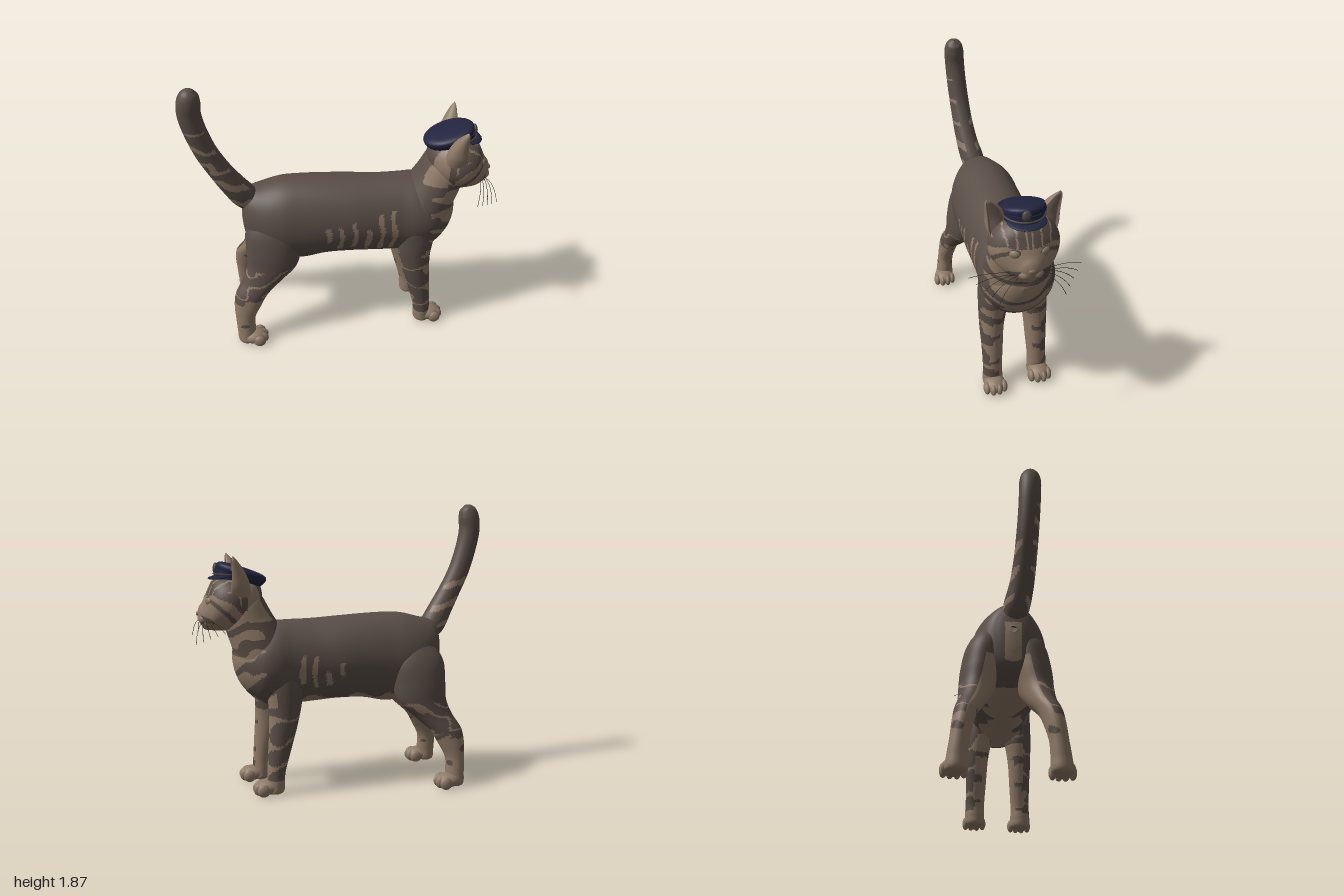
import * as THREE from 'three';

const mat = (name, color) => new THREE.MeshStandardMaterial({ name, color, side: THREE.DoubleSide });

// Soft irregularity for the coat markings
const noise = (x, y, z) =>
  0.5 * Math.sin(23 * x + 11 * z + 3 * Math.sin(17 * y)) + 0.5 * Math.sin(29 * y + 13 * z + 2 * Math.sin(19 * x));

// Smooth interpolation through rows of numbers
function sample(rows, t) {
  const f = t * (rows.length - 1), i = Math.min(Math.floor(f), rows.length - 2), u = f - i;
  const r = k => rows[Math.max(0, Math.min(rows.length - 1, k))];
  const p0 = r(i - 1), p1 = r(i), p2 = r(i + 1), p3 = r(i + 2);
  return p1.map((v, k) => 0.5 * (2 * v + (p2[k] - p0[k]) * u + (2 * p0[k] - 5 * v + 4 * p2[k] - p3[k]) * u * u
    + (3 * v - p0[k] - 3 * p2[k] + p3[k]) * u * u * u));
}

// Loft elliptical rings through rows [x, y, z, halfHeight, halfWidth]; paint() picks a material index per face
function loft(name, rows, { axis, rings = 90, sides = 48, paint, mats, shape = () => 1 }) {
  const pos = [], faces = mats.map(() => []);
  const Z = new THREE.Vector3(0, 0, 1);
  for (let i = 0; i <= rings; i++) {
    const t = i / rings, [x, y, z, a, b] = sample(rows, t);
    const p = sample(rows, Math.max(0, t - 0.01)), q = sample(rows, Math.min(1, t + 0.01));
    const T = axis ? new THREE.Vector3(...axis) : new THREE.Vector3(q[0] - p[0], q[1] - p[1], q[2] - p[2]).normalize();
    const A = Z.clone().cross(T).normalize(), B = T.clone().cross(A);
    for (let j = 0; j < sides; j++) {
      const th = j / sides * Math.PI * 2;
      const v = new THREE.Vector3(x, y, z)
        .addScaledVector(A, Math.max(a, 0.001) * shape(t, th) * Math.cos(th))
        .addScaledVector(B, Math.max(b, 0.001) * Math.sin(th));
      pos.push(v.x, v.y, v.z);
    }
  }
  for (let i = 0; i < rings; i++) for (let j = 0; j < sides; j++) {
    const a = i * sides + j, b = i * sides + (j + 1) % sides, c = a + sides, d = b + sides;
    for (const f of [[a, b, c], [b, d, c]]) {
      const m = k => (pos[f[0] * 3 + k] + pos[f[1] * 3 + k] + pos[f[2] * 3 + k]) / 3;
      faces[paint(m(0), m(1), m(2), (i + 0.5) / rings, (j + 0.5) / sides * Math.PI * 2)].push(...f);
    }
  }
  const g = new THREE.BufferGeometry();
  g.setAttribute('position', new THREE.Float32BufferAttribute(pos, 3));
  g.setIndex(faces.flat());
  let start = 0;
  faces.forEach((f, k) => { g.addGroup(start, f.length, k); start += f.length; });
  g.computeVertexNormals();
  const mesh = new THREE.Mesh(g, mats);
  mesh.name = name;
  return mesh;
}

export function createModel() {
  const dark = mat('darkFur', 0x5a4e47), light = mat('lightFur', 0x8f7a67), inner = mat('innerEar', 0x75635a);
  const navy = mat('navyCloth', 0x22243f), trim = mat('bronzeTrim', 0x4c4340), black = mat('whiskerBlack', 0x2b2522);
  const nose = mat('noseLeather', 0x7d6355), eye = mat('eye', 0x86765f);
  const coat = [dark, light];
  const cat = new THREE.Group();
  cat.name = 'cat';
  const ball = (parent, name, m, p, s, rot = 0) => {
    const b = new THREE.Mesh(new THREE.SphereGeometry(1, 18, 12), m);
    b.name = name; b.position.set(...p); b.scale.set(...s); b.rotation.z = rot;
    parent.add(b);
  };

  // Coat rules: light flank bars, pale belly, banded chest
  const bars = [[-0.11, 0.78, 0.9], [-0.03, 0.7, 0.9], [0.06, 0.72, 0.93], [0.15, 0.66, 0.87], [0.24, 0.65, 0.97], [0.32, 0.67, 0.98]];
  const chest = (x, y, z) => {
    const s = y - 2 * (z - 0.03) ** 2;
    return x > 0.56 && Math.sin(s * 46 + 1.3 * noise(x, y, z)) > 0.55 - (x - 0.58) * 6;
  };
  const bodyPaint = (x, y, z) => {
    const n = noise(x, y, z);
    if (x < 0.52 && x > -0.5 && y < 0.625 + 0.03 * n) return 1;
    if (x < -0.64 && Math.abs(z - 0.04) < 0.05 && y < 0.95) return 1;
    const trimEnd = z < 0 ? 0.06 : 0;
    if (bars.some(([bx, lo, hi]) => (z > 0 || bx > 0) && y > lo + trimEnd && y < hi - trimEnd
      && Math.abs(x - bx - 0.008 * Math.sin(y * 25)) < 0.016 + 0.006 * n)) return 1;
    return chest(x, y, z) ? 1 : 0;
  };

  // Body
  cat.add(loft('body', [
    [-0.67, 0.9, 0.04, 0.02, 0.02], [-0.655, 0.9, 0.04, 0.14, 0.09], [-0.62, 0.88, 0.035, 0.215, 0.15],
    [-0.52, 0.86, 0.03, 0.26, 0.21], [-0.4, 0.855, 0.03, 0.295, 0.235], [-0.27, 0.855, 0.03, 0.302, 0.235],
    [-0.12, 0.867, 0.03, 0.285, 0.235], [0.05, 0.865, 0.03, 0.277, 0.235], [0.22, 0.855, 0.03, 0.277, 0.225],
    [0.37, 0.85, 0.025, 0.28, 0.225], [0.48, 0.85, 0.02, 0.275, 0.24], [0.57, 0.845, 0.02, 0.255, 0.23],
    [0.64, 0.855, 0.025, 0.21, 0.19], [0.7, 0.87, 0.03, 0.15, 0.135], [0.735, 0.89, 0.03, 0.085, 0.08], [0.75, 0.9, 0.03, 0.01, 0.01],
  ], { axis: [1, 0, 0], rings: 190, sides: 88, paint: bodyPaint, mats: coat }));

  // Neck
  cat.add(loft('neck', [
    [0.5, 0.82, 0.025, 0.2, 0.2], [0.545, 0.92, 0.028, 0.195, 0.213], [0.59, 1.02, 0.03, 0.172, 0.2],
    [0.635, 1.12, 0.035, 0.158, 0.183], [0.68, 1.24, 0.04, 0.142, 0.168], [0.705, 1.33, 0.045, 0.11, 0.12],
  ], { rings: 90, sides: 80, mats: coat, paint: (x, y, z) =>
    y > 1.14 && x < 0.66 ? (Math.abs(z - 0.045) > 0.1 + 0.02 * noise(x, y, z) ? 1 : 0) : chest(x, y, z) ? 1 : 0 }));

  // Tail
  cat.add(loft('tail', [
    [-0.57, 0.98, 0.04, 0.06, 0.06], [-0.64, 1.06, 0.06, 0.085, 0.08], [-0.71, 1.17, 0.085, 0.08, 0.075],
    [-0.78, 1.29, 0.1, 0.073, 0.07], [-0.85, 1.43, 0.11, 0.071, 0.068], [-0.9, 1.58, 0.118, 0.071, 0.067],
    [-0.924, 1.7, 0.122, 0.072, 0.067], [-0.918, 1.79, 0.125, 0.071, 0.066], [-0.9, 1.845, 0.125, 0.05, 0.048], [-0.888, 1.868, 0.125, 0.005, 0.005],
  ], { rings: 110, sides: 40, mats: coat, paint: (x, y, z, t, th) =>
    Math.abs(Math.sin(th)) > 0.5 && y < (z > 0.1 ? 1.6 : 1.4) && Math.sin(y * 52 + x * 14 + 1.5 * noise(x, y, z)) > 0.5 ? 1 : 0 }));

  // Paw with four toes
  const paw = (x, z) => {
    const g = new THREE.Group();
    g.name = 'paw';
    ball(g, 'pad', light, [x, 0.05, z], [0.085, 0.05, 0.07]);
    [-0.057, -0.02, 0.02, 0.057].forEach((dz, i) =>
      ball(g, 'toe', light, [x + (i % 3 ? 0.053 : 0.033), 0.042, z + dz], [0.042, 0.042, 0.023]));
    cat.add(g);
  };

  // Legs on both sides, dark outside and pale inside
  const foreRows = [[0.46, 0.92, 0.12, 0.06, 0.06], [0.47, 0.84, 0.135, 0.12, 0.11], [0.48, 0.72, 0.155, 0.125, 0.105], [0.48, 0.58, 0.17, 0.107, 0.09],
    [0.495, 0.45, 0.18, 0.092, 0.078], [0.52, 0.3, 0.182, 0.076, 0.069], [0.545, 0.15, 0.186, 0.06, 0.063],
    [0.55, 0.07, 0.187, 0.058, 0.066], [0.555, 0.015, 0.187, 0.055, 0.06], [0.555, 0.004, 0.187, 0.005, 0.005]];
  const hindRows = [[-0.45, 1.04, 0.08, 0.04, 0.03], [-0.455, 0.95, 0.105, 0.13, 0.09], [-0.465, 0.84, 0.14, 0.185, 0.118], [-0.475, 0.7, 0.165, 0.182, 0.122],
    [-0.49, 0.58, 0.19, 0.168, 0.105], [-0.56, 0.48, 0.215, 0.135, 0.085], [-0.635, 0.39, 0.25, 0.112, 0.07],
    [-0.67, 0.3, 0.27, 0.092, 0.062], [-0.693, 0.2, 0.285, 0.066, 0.056], [-0.692, 0.1, 0.295, 0.063, 0.06],
    [-0.69, 0.02, 0.3, 0.058, 0.06], [-0.69, 0.004, 0.3, 0.005, 0.005]];
  for (const side of [1, -1]) {
    const tag = side > 0 ? 'left' : 'right', dx = side > 0 ? 0 : -0.05;
    const place = (rows, mid, sx) => rows.map(([x, y, z, a, b]) => [x + sx, y, mid + side * (z - mid), a, b]);
    cat.add(loft(tag + 'ForeLeg', place(foreRows, 0.03, dx), { axis: [0, -1, 0], rings: 95, sides: 44, mats: coat,
      paint: (x, y, z, t, th) => {
        const out = Math.sin(th) * side, front = Math.cos(th), n = noise(x, y, z);
        const band = Math.sin(y * 42 + x * 12 + n * 1.5);
        if (y > 0.62) return front > 0.5 && band > 0 ? 1 : 0;
        if (y < 0.1) return 1;
        if (out > 0.25 + 0.25 * n) return band > 0.9 - 0.6 * Math.max(0, front) ? 1 : 0;
        return (band < -0.75 && out > -0.5) || (y > 0.46 && band < -0.3) ? 0 : 1;
      } }));
    cat.add(loft(tag + 'HindLeg', place(hindRows, 0.01, 0), { axis: [0, -1, 0], rings: 100, sides: 44, mats: coat,
      paint: (x, y, z, t, th) => {
        const out = Math.sin(th) * side, n = noise(x, y, z);
        if (y < 0.35 + 0.03 * n) return n > 0.75 && y > 0.15 ? 0 : 1;
        if (out < -0.15) return y < 0.75 ? 1 : 0;
        return y < 0.58 && Math.sin((y - 0.5 * x) * 52 + 2 * n) > 0.86 ? 1 : 0;
      } }));
    paw(0.605 + dx, 0.03 + side * 0.157);
    paw(-0.64, 0.01 + side * 0.302);
  }

  // Head
  const mid = 0.047, head = new THREE.Group();
  head.name = 'head';
  cat.add(head);
  head.add(loft('skull', [
    [0.545, 1.28, mid, 0.01, 0.01], [0.56, 1.28, mid, 0.08, 0.08], [0.61, 1.265, mid, 0.145, 0.15], [0.68, 1.26, mid, 0.175, 0.192],
    [0.75, 1.255, mid, 0.182, 0.21], [0.81, 1.25, mid, 0.178, 0.197], [0.86, 1.235, mid, 0.162, 0.165], [0.895, 1.205, mid, 0.125, 0.12],
    [0.925, 1.18, mid, 0.085, 0.08], [0.95, 1.178, mid, 0.05, 0.045], [0.962, 1.18, mid, 0.005, 0.005],
  ], { axis: [1, 0, 0], rings: 110, sides: 80, mats: coat, paint: (x, y, z) => {
    const d = Math.abs(z - mid), n = noise(x, y, d);
    if (x < 0.66) return d < 0.1 ? 0 : 1;
    if (x < 0.7) return y > 1.15 ? 0 : 1;
    // Dark brow with thin pale streaks
    if (y > 1.3 + 0.25 * Math.max(0, d - 0.08)) return Math.sin(d * 110 + 0.8 * n) > 0.8 ? 1 : 0;
    if (x > 0.87 && d < 0.05) return 1;
    if (y < 1.13) return 1;
    return Math.sin((y - 0.7 * x) * 52 + n * 1.6) > 0.35 && d > 0.06 ? 0 : 1;
  } }));
  ball(head, 'chin', light, [0.895, 1.108, mid], [0.04, 0.032, 0.045]);
  ball(head, 'nose', nose, [0.957, 1.184, mid], [0.014, 0.015, 0.024]);
  const mouth = new THREE.Mesh(new THREE.TorusGeometry(0.04, 0.003, 6, 20, Math.PI), dark);
  mouth.name = 'mouth';
  mouth.position.set(0.93, 1.095, mid);
  mouth.rotation.y = Math.PI / 2;
  head.add(mouth);
  for (const s of [1, -1]) {
    ball(head, 'muzzlePad', light, [0.922, 1.152, mid + s * 0.033], [0.037, 0.034, 0.04]);
    // Eye with a dark lid
    const socket = new THREE.Group();
    socket.name = 'eyeSocket';
    socket.position.set(0.89, 1.27, mid + s * 0.087);
    socket.rotation.y = Math.PI / 2 - s * 0.5;
    ball(socket, 'eyeball', eye, [0, 0, 0], [0.034, 0.027, 0.022]);
    const lid = new THREE.Mesh(new THREE.TorusGeometry(0.035, 0.006, 6, 24), dark);
    lid.name = 'eyelid';
    lid.scale.y = 0.8;
    socket.add(lid);
    head.add(socket);
    // Ear, hollow at the front
    const w = z => mid + s * z;
    head.add(loft('ear', [
      [0.72, 1.3, w(0.14), 0.085, 0.055], [0.718, 1.36, w(0.148), 0.08, 0.064], [0.72, 1.42, w(0.155), 0.065, 0.061],
      [0.732, 1.48, w(0.173), 0.045, 0.046], [0.745, 1.53, w(0.196), 0.022, 0.024], [0.75, 1.555, w(0.206), 0.003, 0.003],
    ], { axis: [0, 1, 0], rings: 30, sides: 40, mats: [light, inner],
      shape: (t, th) => Math.cos(th) < -0.6 ? 0.45 : 1,
      paint: (x, y, z, t, th) => Math.cos(th) < -0.62 && t < 0.85 ? 1 : 0 }));
    // Whiskers
    for (let i = 0; i < 5; i++) {
      const z = mid + s * 0.062, reach = 0.13 + 0.035 * i, x = 0.925 - 0.007 * i;
      const curve = new THREE.QuadraticBezierCurve3(new THREE.Vector3(x, 1.135 + 0.008 * (i % 3), z),
        new THREE.Vector3(x + 0.05 - 0.02 * i, 1.14 + 0.005 * i, z + s * reach * 0.6),
        new THREE.Vector3(x + 0.06 - 0.035 * i, 1.015 + 0.02 * i, z + s * reach));
      const hair = new THREE.Mesh(new THREE.TubeGeometry(curve, 10, 0.0017, 4), black);
      hair.name = 'whisker';
      head.add(hair);
    }
  }

  // Peaked cap
  const cap = new THREE.Group();
  cap.name = 'cap';
  cat.add(cap);
  const profile = [[0, -0.05], [0.115, -0.055], [0.15, -0.03], [0.167, 0.005], [0.157, 0.028], [0.11, 0.04], [0, 0.045]];
  const crown = new THREE.Mesh(new THREE.LatheGeometry(new THREE.SplineCurve(profile.map(p => new THREE.Vector2(...p))).getPoints(28), 40), navy);
  crown.name = 'crown';
  crown.position.set(0.68, 1.433, 0.04);
  crown.rotation.z = 0.33;
  crown.scale.z = 0.84;
  cap.add(crown);
  const band = new THREE.Mesh(new THREE.CylinderGeometry(0.118, 0.118, 0.06, 40), navy);
  band.name = 'band';
  band.position.set(0.73, 1.425, 0.042);
  band.rotation.z = 0.1;
  cap.add(band);
  ball(cap, 'peak', navy, [0.8, 1.418, 0.042], [0.092, 0.013, 0.115], -0.12);
  const braid = new THREE.Mesh(new THREE.TorusGeometry(0.12, 0.006, 6, 30, Math.PI), trim);
  braid.name = 'braid';
  braid.position.set(0.732, 1.437, 0.042);
  braid.rotation.set(Math.PI / 2, 0, -Math.PI / 2);
  cap.add(braid);
  ball(cap, 'badge', trim, [0.842, 1.475, 0.055], [0.014, 0.032, 0.028], 0.2);
  return cat;
}
